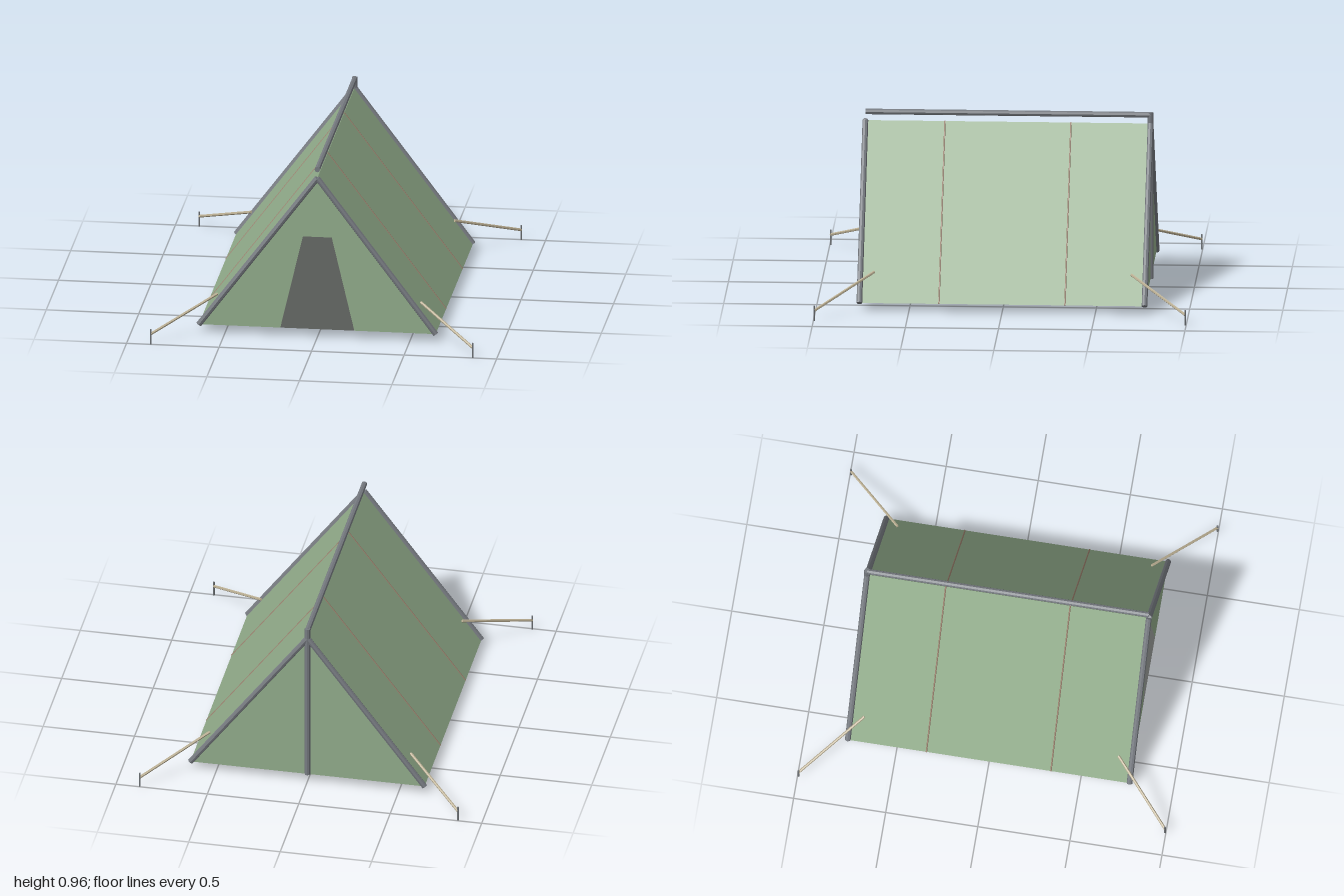
import * as THREE from 'three';

const HALF_W = 0.64, BASE = 0.046, PEAK = 0.9, END = 0.765, POLE_R = 0.0155;

const material = (name, color, side = THREE.FrontSide) => {
  const m = new THREE.MeshStandardMaterial({ color, side });
  m.name = name;
  return m;
};

// Straight faceted rod between two points
function rod(name, a, b, radius, mat, sides = 8) {
  const from = new THREE.Vector3(...a), to = new THREE.Vector3(...b);
  const dir = to.clone().sub(from);
  const geometry = new THREE.CylinderGeometry(radius, radius, dir.length(), sides).toNonIndexed();
  geometry.computeVertexNormals();
  const mesh = new THREE.Mesh(geometry, mat);
  mesh.position.copy(from).add(to).multiplyScalar(0.5);
  mesh.quaternion.setFromUnitVectors(new THREE.Vector3(0, 1, 0), dir.normalize());
  mesh.name = name;
  return mesh;
}

// Flat triangle in the xy plane
function triangle(name, points, z, mat) {
  const shape = new THREE.Shape(points.map(p => new THREE.Vector2(...p)));
  const mesh = new THREE.Mesh(new THREE.ShapeGeometry(shape), mat);
  mesh.position.z = z;
  mesh.name = name;
  return mesh;
}

export function createModel() {
  const tent = new THREE.Group();
  tent.name = 'tent';
  const canvas = material('green canvas', 0x91ab8a, THREE.DoubleSide);
  const groundsheet = material('dark groundsheet', 0x585b58, THREE.DoubleSide);
  const metal = material('grey pole', 0x767a80);
  const stitch = material('brown seam', 0x987f6c);
  const cord = material('tan cord', 0xbcb094);
  const steel = material('grey peg', 0x707478);

  // Floor
  const floor = new THREE.Mesh(new THREE.PlaneGeometry(HALF_W * 2, END * 2), groundsheet);
  floor.rotation.x = -Math.PI / 2;
  floor.position.y = BASE;
  floor.name = 'floor';
  tent.add(floor);

  // Closed back wall
  tent.add(triangle('backWall', [[-HALF_W, BASE], [HALF_W, BASE], [0, PEAK]], -END, canvas));

  const slope = Math.hypot(HALF_W, PEAK - BASE);
  const tilt = Math.atan2(PEAK - BASE, HALF_W);
  for (const s of [-1, 1]) {
    const side = s > 0 ? 'left' : 'right';

    // Sloping roof panel with two seams
    const roof = new THREE.Group();
    roof.name = side + 'Roof';
    roof.position.set(s * HALF_W / 2, (BASE + PEAK) / 2, 0);
    roof.rotation.z = -s * tilt;
    const panel = new THREE.Mesh(new THREE.PlaneGeometry(slope, END * 2).rotateX(-Math.PI / 2), canvas);
    panel.name = side + 'RoofPanel';
    roof.add(panel);
    for (const z of [-0.338, 0.338]) {
      roof.add(rod(side + 'Seam', [-slope / 2, 0, z], [slope / 2, 0, z], 0.004, stitch, 6));
    }
    tent.add(roof);

    // Front flap beside the open doorway
    tent.add(triangle(side + 'FrontFlap', [[s * HALF_W, BASE], [s * 0.2, BASE], [0, PEAK]], END, canvas));

    for (const f of [-1, 1]) {
      const end = f > 0 ? 'Front' : 'Back';
      // Sloping end pole, guy rope and peg
      tent.add(rod(side + end + 'Pole', [s * HALF_W, BASE, f * END], [0, PEAK, f * END], POLE_R, metal));
      tent.add(rod(side + end + 'Rope', [s * 0.55, 0.197, f * 0.69], [s * 0.87, 0.057, f * 0.995], 0.0075, cord, 6));
      tent.add(rod(side + end + 'Peg', [s * 0.87, 0, f * 0.995], [s * 0.87, 0.083, f * 0.995], 0.005, steel, 6));
    }
  }

  // Ridge pole carried by the upright at the back
  tent.add(rod('ridgePole', [0, 0.948, -END], [0, 0.948, END], POLE_R, metal));
  tent.add(rod('backUpright', [0, BASE, -END], [0, 0.96, -END], POLE_R, metal));
  return tent;
}
